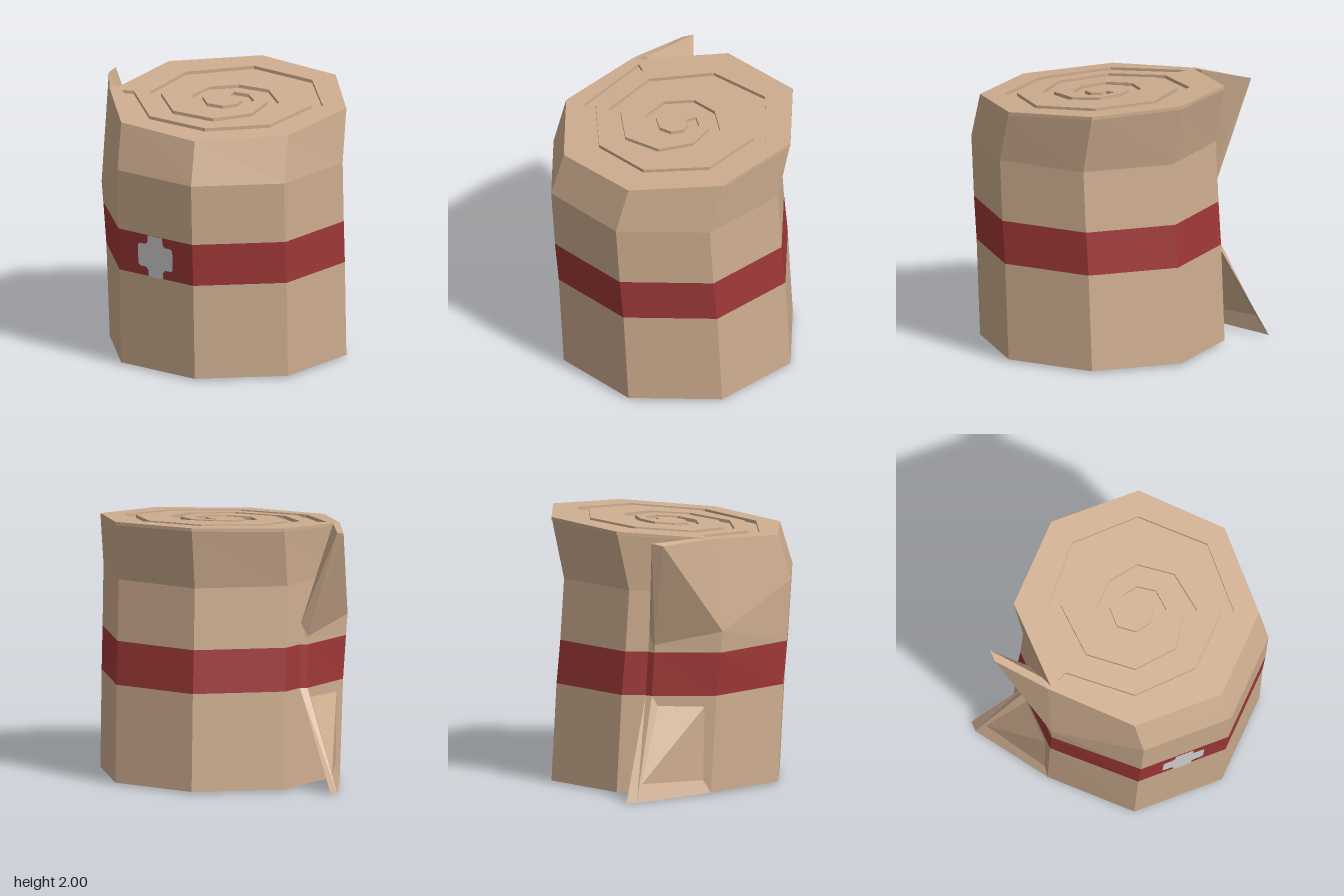
import * as THREE from 'three';

const CX = 0.065, R = 0.91, GROOVE = 0.025;
// Height and z shift of each octagonal ring; the last ring is tilted
const LEVELS = [[0.015, -0.05], [0.745, -0.01], [1.07, 0.02], [1.53, 0.05], [null, -0.05]];
const topY = z => 1.925 - (z + 0.05) * 0.0824;

// Corner i of the roll at a level: 0 front, 2 left, 4 back, 6 right
function corner(level, i) {
  const [y, cz] = LEVELS[level], a = i * Math.PI / 4;
  const x = i % 8 === 6 ? -0.82 : CX + R * Math.sin(a);
  const z = cz + R * Math.cos(a);
  return [x, y === null ? topY(z) : y, z];
}

// Flat faced mesh from polygons; a quad a,b,c,d is split along b-d
function facets(polys) {
  const pos = [];
  for (const [a, b, c, d] of polys) {
    if (d) pos.push(...a, ...b, ...d, ...b, ...c, ...d);
    else pos.push(...a, ...b, ...c);
  }
  const g = new THREE.BufferGeometry();
  g.setAttribute('position', new THREE.Float32BufferAttribute(pos, 3));
  g.computeVertexNormals();
  return g;
}

// Lay a geometry drawn in (x, -z) onto the tilted top
function layOnTop(g, drop) {
  g.rotateX(-Math.PI / 2);
  const p = g.attributes.position;
  for (let i = 0; i < p.count; i++) p.setY(i, p.getY(i) + topY(p.getZ(i)) - drop);
  g.computeVertexNormals();
  return g;
}

export function createModel() {
  const group = new THREE.Group();
  const material = (name, color) => {
    const m = new THREE.MeshStandardMaterial({ color, side: THREE.DoubleSide });
    m.name = name;
    return m;
  };
  const tan = material('tan cloth', 0xcfae90);
  const red = material('red stripe', 0xa03838);
  const grey = material('light grey', 0xd4d6d4);
  const add = (name, geometry, mat) => {
    const m = new THREE.Mesh(geometry, mat);
    m.name = name;
    group.add(m);
  };

  // Octagonal roll, one ring of panels per level
  const names = ['lowerRoll', 'rollStripe', 'upperRoll', 'rollShoulder'];
  names.forEach((name, l) => {
    const polys = [];
    for (let i = 0; i < 8; i++)
      polys.push([corner(l, i), corner(l, i + 1), corner(l + 1, i + 1), corner(l + 1, i)]);
    add(name, facets(polys), l === 1 ? red : tan);
  });

  // Underside
  const base = [];
  for (let i = 0; i < 8; i++) base.push([[CX, 0.015, -0.05], corner(0, i + 1), corner(0, i)]);
  add('underside', facets(base), tan);

  // Top with a spiral groove cut through to a lower floor
  const outline = [...Array(8).keys()].map(i => {
    const [x, , z] = corner(4, i);
    return new THREE.Vector2(x, -z);
  });
  const radii = [0.05, 0.08, 0.11, 0.13, 0.15, 0.18, 0.2, 0.2, 0.2, 0.25, 0.3, 0.36,
    0.42, 0.47, 0.52, 0.56, 0.6, 0.62, 0.64, 0.635, 0.63, 0.67, 0.73];
  const spiral = extra => radii.map((r, k) => {
    const a = k * Math.PI / 4;
    return new THREE.Vector2(CX + (r + extra) * Math.sin(a), 0.05 + (r + extra) * Math.cos(a));
  });
  const top = new THREE.Shape(outline);
  top.holes.push(new THREE.Path([...spiral(0), ...spiral(0.09).reverse()]));
  add('spiralTop', layOnTop(new THREE.ExtrudeGeometry(top, { depth: GROOVE, bevelEnabled: false }), GROOVE), tan);
  const floor = new THREE.Shape(outline.map(p => p.clone().multiplyScalar(0.98)));
  add('grooveFloor', layOnTop(new THREE.ShapeGeometry(floor), GROOVE), tan);

  // Loose outer wrap: fold at the side, outer and inner edge of the cloth end
  const fold = [[-0.85, 0.015, -0.05], [-0.865, 0.745, -0.01], [-0.88, 1.07, 0.02], [-0.89, 1.23, 0.03], [-0.85, 1.925, -0.05]];
  const end = [[-0.98, 0, -0.69], [-0.7, 0.745, -0.46], [-0.7, 1.07, -0.44], [-0.7, 1.13, -0.44], [-0.98, 1.92, -0.48]];
  const inner = [[-0.95, 0, -0.76], [-0.65, 0.745, -0.49], [-0.65, 1.07, -0.47], [-0.65, 1.23, -0.46], [-0.95, 1.94, -0.56]];
  const wrap = [], wrapStripe = [];
  for (let l = 0; l < 4; l++) {
    const out = l === 1 ? wrapStripe : wrap;
    out.push([fold[l], corner(l, 7), corner(l + 1, 7), fold[l + 1]]);
    out.push([end[l], fold[l], fold[l + 1], end[l + 1]]);
    out.push([inner[l], end[l], end[l + 1], inner[l + 1]]);
  }
  // Inside faces and rims of the two peeling corners
  for (const [l, m, tip] of [[0, 1, 0], [3, 4, 4]]) {
    const root = tip ? [-0.82, topY(-0.14), -0.14] : corner(0, 6);
    const hinge = corner(tip ? 3 : 1, 6);
    wrap.push(tip ? [hinge, inner[l], inner[m], root] : [root, inner[l], inner[m], hinge]);
    wrap.push(tip ? [fold[tip], end[tip], inner[tip], root] : [root, inner[tip], end[tip], fold[tip]]);
    wrap.push(tip ? [corner(4, 7), fold[4], corner(4, 6)] : [corner(0, 6), fold[0], corner(0, 7)]);
    if (tip) wrap.push([fold[4], root, corner(4, 6)]);
  }
  add('outerWrap', facets(wrap), tan);
  add('outerWrapStripe', facets(wrapStripe), red);

  // Cross painted on the stripe
  const quarter = [[0.15, 0.075], [0.135, 0.09], [0.085, 0.09], [0.065, 0.11], [0.065, 0.163]];
  const mirrored = [...quarter, ...quarter.map(([x, y]) => [-x, y]).reverse()];
  const loop = [...mirrored, ...mirrored.map(([x, y]) => [-x, -y])];
  const cross = new THREE.ShapeGeometry(new THREE.Shape(loop.map(([x, y]) => new THREE.Vector2(x - 0.26, y + 0.907))));
  const p = cross.attributes.position;
  for (let i = 0; i < p.count; i++) {
    const shift = -0.01 + (p.getY(i) - 0.745) * 0.0923;
    p.setZ(i, shift + R + (p.getX(i) - CX) * 0.4142 + 0.006);
  }
  cross.computeVertexNormals();
  add('cross', cross, grey);

  return group;
}
